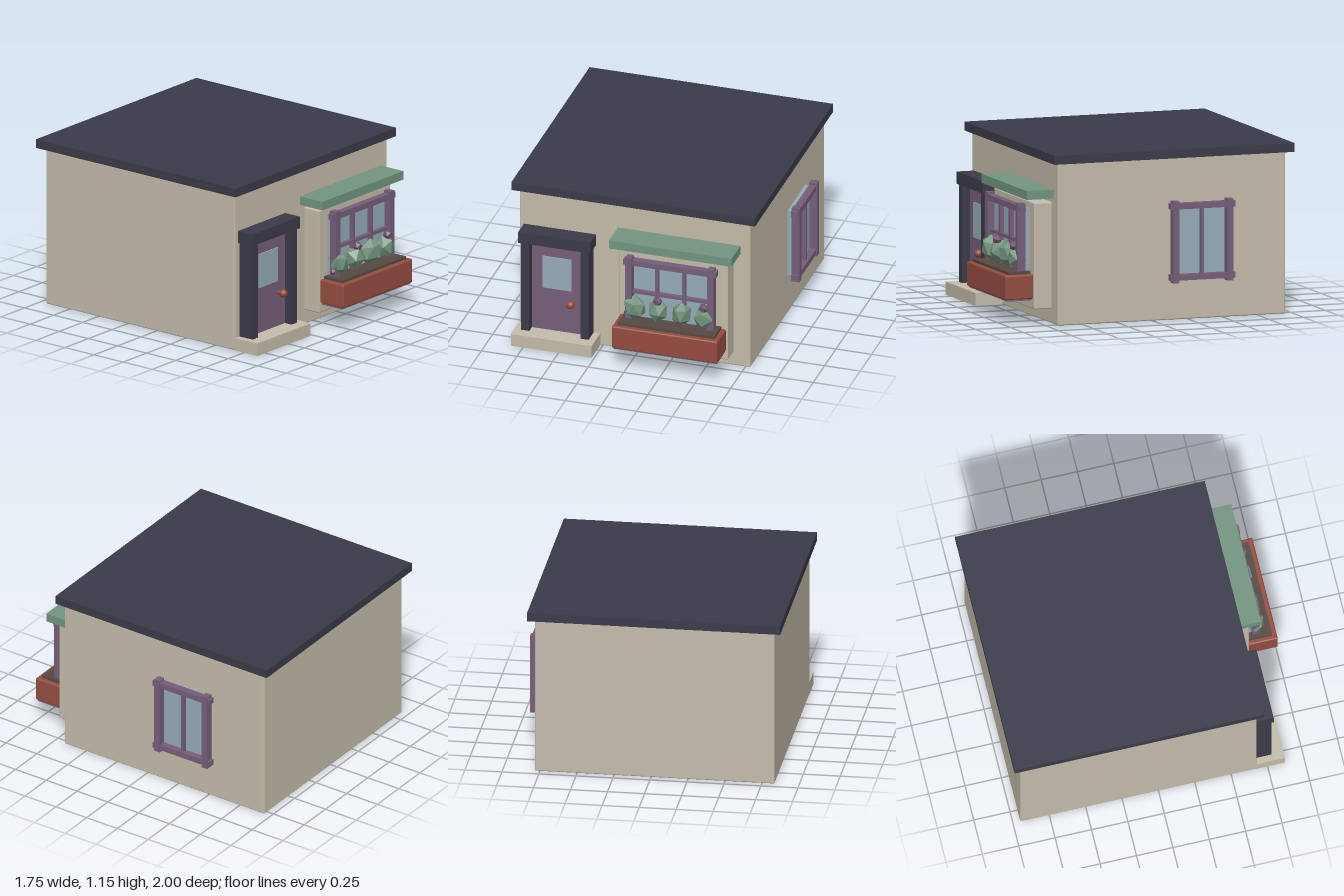
import * as THREE from 'three';
import { RoundedBoxGeometry } from 'three/addons/geometries/RoundedBoxGeometry.js';

const mat = (name, color) => {
  const m = new THREE.MeshStandardMaterial({ color });
  m.name = name;
  return m;
};

export function createModel() {
  const wall = mat('wallBeige', 0xc4bbaa);
  const slate = mat('slate', 0x3b3a4a);
  const purple = mat('purpleWood', 0x765e79);
  const glass = mat('glass', 0x96abb8);
  const green = mat('green', 0x729580);
  const clay = mat('terracotta', 0x964c40);
  const soil = mat('soil', 0x564a42);
  const leaf = mat('leaf', 0x73947e);
  leaf.flatShading = true;
  const petal = mat('petal', 0x6b5068);
  petal.flatShading = true;

  const house = new THREE.Group();
  house.name = 'house';

  const add = (parent, name, geometry, material, x = 0, y = 0, z = 0) => {
    const mesh = new THREE.Mesh(geometry, material);
    mesh.name = name;
    mesh.position.set(x, y, z);
    parent.add(mesh);
    return mesh;
  };
  // Box given by its limits; a radius rounds the edges
  const box = (parent, name, material, [x0, x1], [y0, y1], [z0, z1], r = 0) => {
    const size = [x1 - x0, y1 - y0, z1 - z0];
    const geometry = r ? new RoundedBoxGeometry(...size, 2, r) : new THREE.BoxGeometry(...size);
    return add(parent, name, geometry, material, (x0 + x1) / 2, (y0 + y1) / 2, (z0 + z1) / 2);
  };

  // Building shell
  box(house, 'walls', wall, [-0.835, 0.785], [0, 1.1], [-0.95, 0.675], 0.008);
  box(house, 'roof', slate, [-0.88, 0.83], [1.095, 1.155], [-1, 0.715]);
  box(house, 'windowBay', wall, [-0.095, 0.667], [0.1, 0.82], [0.66, 0.8], 0.008);
  box(house, 'awning', green, [-0.145, 0.715], [0.85, 0.91], [0.67, 0.87]);
  box(house, 'doorStep', wall, [-0.835, -0.268], [0, 0.088], [0.67, 0.868]);

  // Door with surround, pane and knob
  const door = new THREE.Group();
  door.name = 'door';
  house.add(door);
  box(door, 'doorLeaf', purple, [-0.735, -0.37], [0.088, 0.755], [0.66, 0.73]);
  box(door, 'doorPane', glass, [-0.655, -0.452], [0.405, 0.643], [0.73, 0.737]);
  box(door, 'lintel', slate, [-0.805, -0.3], [0.75, 0.832], [0.67, 0.8]);
  for (const x of [-0.79, -0.373]) box(door, 'doorPost', slate, [x, x + 0.058], [0.088, 0.752], [0.67, 0.788]);
  const stem = add(door, 'knobStem', new THREE.CylinderGeometry(0.015, 0.015, 0.05, 12), clay, -0.446, 0.325, 0.75);
  stem.rotation.x = Math.PI / 2;
  add(door, 'knob', new THREE.SphereGeometry(0.028, 16, 12), clay, -0.446, 0.325, 0.777);

  // Window standing on its local z = 0 plane, centred on x = 0
  const makeWindow = (name, half, mullions, bar) => {
    const g = new THREE.Group();
    g.name = name;
    box(g, 'pane', glass, [-half + 0.02, half - 0.02], [0.29, 0.775], [-0.01, 0.04]);
    for (const s of [-1, 1]) {
      const c = s * (half - 0.0225);
      box(g, 'windowPost', purple, [c - 0.0225, c + 0.0225], [0.257, 0.81], [0.036, 0.09]);
    }
    for (const y of [0.273, 0.754]) box(g, 'windowRail', purple, [-half - 0.016, half + 0.016], [y, y + 0.04], [0.036, 0.085]);
    for (const x of mullions) box(g, 'mullion', purple, [x - 0.011, x + 0.011], [0.29, 0.775], [0.036, 0.07]);
    if (bar) box(g, 'crossBar', purple, [-half, half], [bar - 0.011, bar + 0.011], [0.036, 0.07]);
    house.add(g);
    return g;
  };
  makeWindow('frontWindow', 0.31, [-0.095, 0.095], 0.55).position.set(0.285, 0, 0.8);
  const side = makeWindow('sideWindow', 0.215, [0], 0);
  side.position.set(0.785, 0, -0.332);
  side.rotation.y = Math.PI / 2;

  // Planter below the front window
  const planter = new THREE.Group();
  planter.name = 'planter';
  house.add(planter);
  box(planter, 'planterBox', clay, [-0.085, 0.655], [0.17, 0.335], [0.8, 1], 0.01);
  box(planter, 'planterBase', purple, [-0.078, 0.648], [0.16, 0.175], [0.81, 0.985]);
  box(planter, 'soilBed', soil, [-0.055, 0.625], [0.32, 0.353], [0.81, 0.968]);

  // Faceted shrubs, every second one carrying a blossom
  [0.035, 0.197, 0.363, 0.52].forEach((x, i) => {
    const tall = i % 2 === 0;
    const shrub = add(planter, 'shrub', new THREE.IcosahedronGeometry(0.085, 0), leaf, x, 0.435, 0.865);
    shrub.scale.set(0.9, tall ? 1.12 : 1, 0.82);
    shrub.rotation.set(0, 0.5 + i * 0.9, tall ? 0.5 : 0.1);
    if (!tall) add(planter, 'blossom', new THREE.IcosahedronGeometry(0.034, 0), petal, x + 0.004, 0.515, 0.89);
  });
  add(planter, 'blossom', new THREE.IcosahedronGeometry(0.025, 0), petal, -0.02, 0.385, 0.86);

  return house;
}
